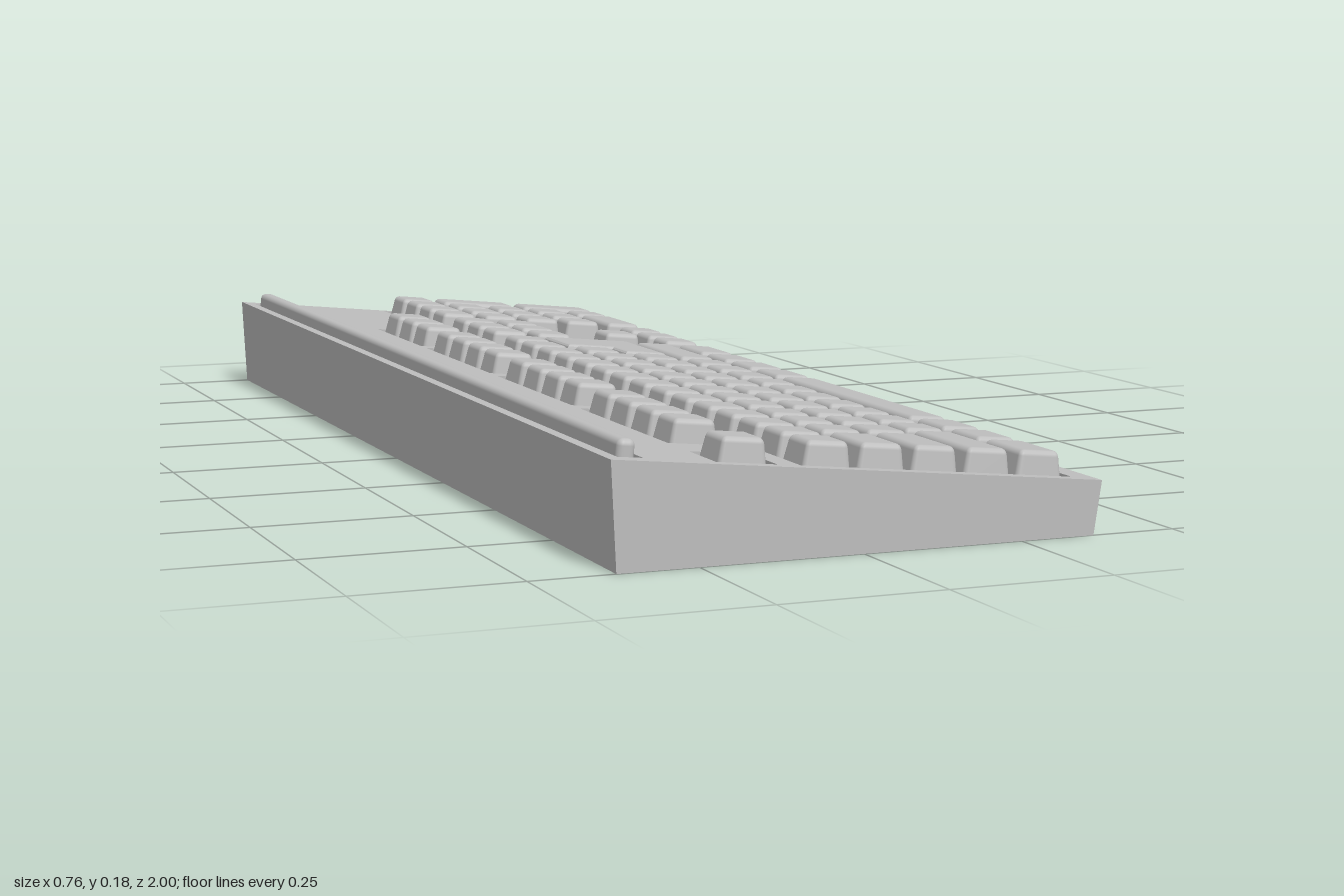
import * as THREE from 'three';
import { mergeGeometries } from 'three/addons/utils/BufferGeometryUtils.js';
import { RoundedBoxGeometry } from 'three/addons/geometries/RoundedBoxGeometry.js';

const U = 0.0857;                                  // key pitch along z
const Z0 = 0.975;                                  // left end of the key field
const COL = [-0.172, -0.043, 0.042, 0.127, 0.212, 0.297]; // row centres, back to front
const HALF = 0.0425;                               // half a row pitch
const DEPTH = 0.022;                               // key well depth
const KEY_TOP = 0.034;                             // key height above the deck

const grey = new THREE.MeshStandardMaterial({ color: 0xbdbdbd, side: THREE.DoubleSide });
grey.name = 'warm grey plastic';

function part(name, geometry) {
  const mesh = new THREE.Mesh(geometry, grey);
  mesh.name = name;
  return mesh;
}

function quad(a, b, c, d) {
  const g = new THREE.BufferGeometry();
  g.setAttribute('position', new THREE.Float32BufferAttribute([a, b, c, a, c, d].flat(), 3));
  g.computeVertexNormals();
  return g;
}

const rect = (x0, x1, z0, z1) => [[x0, z0], [x1, z0], [x1, z1], [x0, z1]];
const toShape = pts => new THREE.Shape(pts.map(([x, z]) => new THREE.Vector2(x, -z)));

// Recessed well: side walls and floor below a deck opening
function well(pts) {
  const walls = pts.map(([x, z], i) => {
    const [x2, z2] = pts[(i + 1) % pts.length];
    return quad([x, 0, z], [x2, 0, z2], [x2, -DEPTH, z2], [x, -DEPTH, z]);
  });
  const floor = new THREE.ShapeGeometry(toShape(pts)).rotateX(-Math.PI / 2).translate(0, -DEPTH, 0);
  return mergeGeometries([...walls, floor.toNonIndexed()].map(g => {
    g.deleteAttribute('uv');
    return g;
  }));
}

// Tapered keycap with rounded edges
function keycap(x, z, w, d) {
  const h = KEY_TOP + DEPTH, inset = 0.008;
  const g = new RoundedBoxGeometry(w, h, d, 2, 0.009);
  const p = g.attributes.position, n = g.attributes.normal, v = new THREE.Vector3();
  for (let i = 0; i < p.count; i++) {
    const t = (p.getY(i) + h / 2) / h;
    p.setX(i, p.getX(i) * (1 - 2 * inset * t / w));
    p.setZ(i, p.getZ(i) * (1 - 2 * inset * t / d));
    v.fromBufferAttribute(n, i);
    v.y += (inset / h) * (Math.abs(v.x) + Math.abs(v.z));
    v.normalize();
    n.setXYZ(i, v.x, v.y, v.z);
  }
  return g.translate(x, h / 2 - DEPTH, z);
}

// A run of keys in one row; widths are in key units, running towards -z
function run(keys, row, start, widths) {
  let z = start;
  for (const w of widths) {
    keys.push(keycap(COL[row], z - w * U / 2, 0.079, w * U - 0.006));
    z -= w * U;
  }
}

export function createModel() {
  const model = new THREE.Group();
  model.name = 'keyboard';

  // Wedge case, open underneath
  const BL = [-0.372, 0], TL = [-0.38, 0.157], TR = [0.38, 0.08], BR = [0.368, 0];
  const at = (p, z) => [p[0], p[1], z];
  model.add(
    part('frontWall', quad(at(BR, 1), at(BR, -1), at(TR, -1), at(TR, 1))),
    part('backWall', quad(at(BL, -1), at(BL, 1), at(TL, 1), at(TL, -1))),
    part('leftEndWall', quad(at(BL, 1), at(BR, 1), at(TR, 1), at(TL, 1))),
    part('rightEndWall', quad(at(BR, -1), at(BL, -1), at(TL, -1), at(TR, -1))),
  );

  // Sloping deck carries everything on top
  const slope = Math.atan2(TL[1] - TR[1], TR[0] - TL[0]);
  const deck = new THREE.Group();
  deck.name = 'deck';
  deck.rotation.z = -slope;
  deck.position.y = (TL[1] + TR[1]) / 2;
  model.add(deck);

  const navZ = -0.347, padZ = -0.641, m = 0.004;
  const back = i => COL[i] - HALF - m, front = i => COL[i] + HALF + m;
  const area = (a, b, z, units) => rect(back(a), front(b), z + m, z - units * U - m);
  const fRuns = [[Z0, 1], [Z0 - 2 * U, 4], [Z0 - 6.5 * U, 4], [Z0 - 11 * U, 4], [navZ, 3]];
  const arrowWell = [
    [back(5), navZ + m], [front(5), navZ + m], [front(5), navZ - 3 * U - m], [back(5), navZ - 3 * U - m],
    [back(5), navZ - 2 * U - m], [back(4), navZ - 2 * U - m], [back(4), navZ - U + m], [back(5), navZ - U + m],
  ];
  const groove = rect(-0.361, -0.323, 0.97, -0.97);
  const wells = [
    ...fRuns.map(([z, n]) => area(0, 0, z, n)),
    area(1, 5, Z0, 15), area(1, 2, navZ, 3), arrowWell, area(1, 5, padZ, 4), groove,
  ];
  const half = 0.38 / Math.cos(slope);
  const plate = toShape(rect(-half, half, 1, -1));
  plate.holes = wells.map(toShape);
  deck.add(part('deckPlate', new THREE.ShapeGeometry(plate).rotateX(-Math.PI / 2)));
  wells.forEach(w => deck.add(part('well', well(w))));

  // Long rounded rail along the back
  deck.add(part('rail', new RoundedBoxGeometry(0.027, 0.045, 1.92, 3, 0.01).translate(-0.343, 0.001, 0)));

  const ones = n => Array(n).fill(1);
  const addKeys = (name, fill) => {
    const keys = [];
    fill(keys);
    deck.add(part(name, mergeGeometries(keys)));
  };

  addKeys('functionKeys', k => fRuns.forEach(([z, n]) => run(k, 0, z, ones(n))));

  addKeys('mainKeys', k => {
    run(k, 1, Z0, ones(15));
    run(k, 2, Z0, [1.5, ...ones(12)]);
    run(k, 3, Z0, [1.75, ...ones(11)]);
    run(k, 4, Z0, [2.25, ...ones(10), 2.75]);
    run(k, 5, Z0, [1.5, 1.25, 1.25, 5.75, 1.25, 1.25, 1.25, 1.5]);
  });

  // L-shaped enter key
  const e = 0.011, end = Z0 - 15 * U + e, xb = COL[2] - HALF + e, xf = COL[3] + HALF - e;
  const step = COL[3] - HALF + e, zb = Z0 - 13.5 * U - e, zf = Z0 - 12.75 * U - e;
  const enter = new THREE.ExtrudeGeometry(
    toShape([[xb, zb], [step, zb], [step, zf], [xf, zf], [xf, end], [xb, end]]),
    { depth: KEY_TOP + DEPTH - 0.016, bevelSize: 0.008, bevelThickness: 0.008, bevelSegments: 3 });
  deck.add(part('enterKey', enter.rotateX(-Math.PI / 2).translate(0, 0.008 - DEPTH, 0)));

  addKeys('navigationKeys', k => [1, 2].forEach(r => run(k, r, navZ, ones(3))));

  addKeys('arrowKeys', k => {
    run(k, 5, navZ, ones(3));
    run(k, 4, navZ - U, [1]);
  });

  addKeys('numberPad', k => {
    run(k, 1, padZ, ones(4));
    [2, 3, 4].forEach(r => run(k, r, padZ, ones(3)));
    run(k, 5, padZ, [2, 1]);
    [2, 4].forEach(r => k.push(
      keycap((COL[r] + COL[r + 1]) / 2, padZ - 3.5 * U, 0.079 + 2 * HALF, U - 0.006)));
  });

  return model;
}
